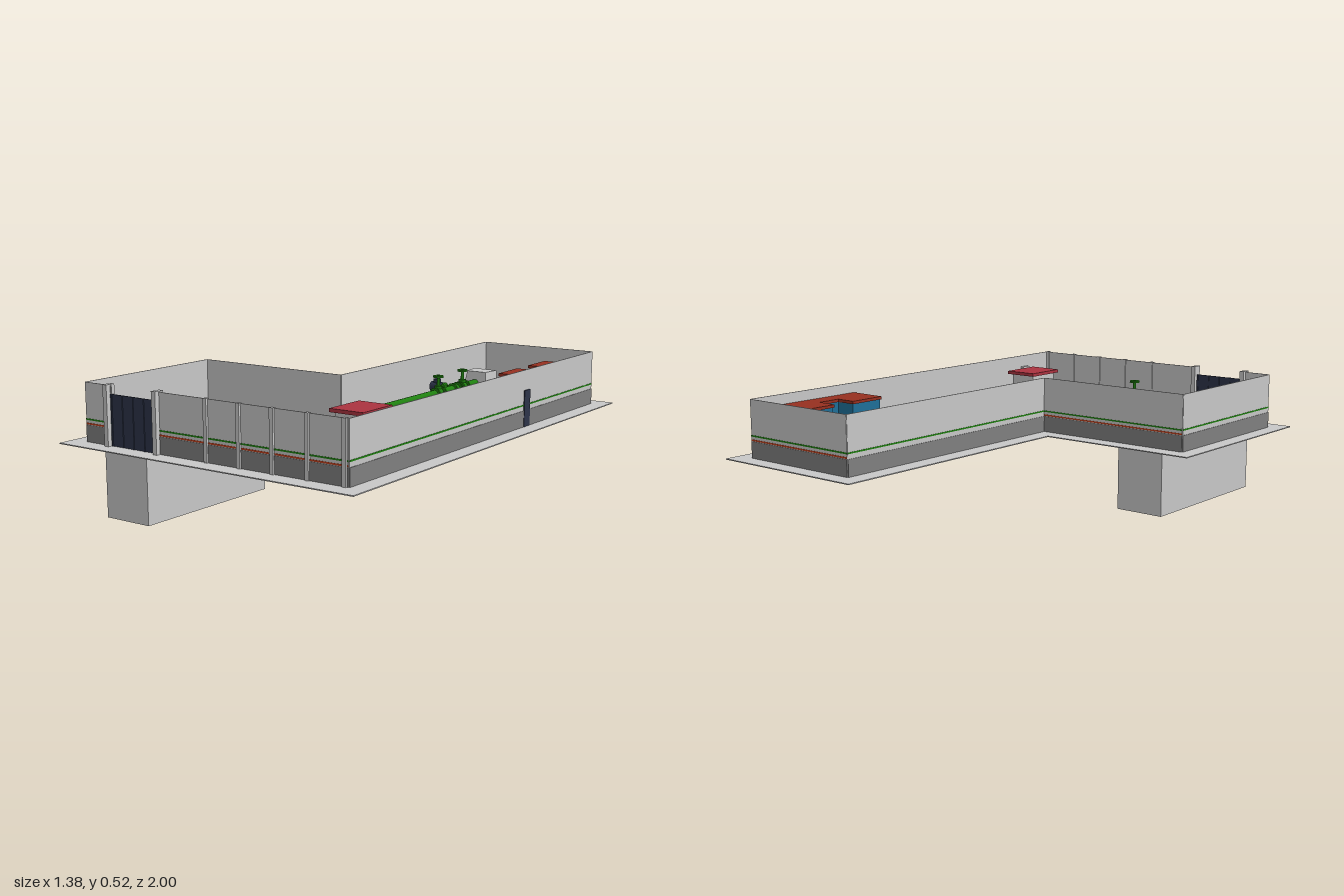
import * as THREE from 'three';

const mat = (name, color) => Object.assign(new THREE.MeshStandardMaterial({ color }), { name });

export function createModel() {
  const root = new THREE.Group();
  root.name = 'pumpingStation';
  const concrete = mat('concrete', 0xc8c8c8), plinth = mat('plinth grey', 0x808080);
  const navy = mat('navy', 0x2d3449), green = mat('pipe green', 0x1f8010);
  const rust = mat('rust roof', 0x963020), crimson = mat('crimson roof', 0xab3340);
  const blue = mat('blue', 0x1f7099), white = mat('white', 0xe6e6e6), orange = mat('orange stripe', 0xc0401c);
  const G = 0.285; // ground level

  const add = (name, geo, m, parent = root) => {
    const mesh = new THREE.Mesh(geo, m);
    mesh.name = name;
    parent.add(mesh);
    return mesh;
  };
  // box given by its two extreme corners
  const box = (name, m, x0, x1, y0, y1, z0, z1, parent) => {
    const b = add(name, new THREE.BoxGeometry(x1 - x0, y1 - y0, z1 - z0), m, parent);
    b.position.set((x0 + x1) / 2, (y0 + y1) / 2, (z0 + z1) / 2);
    return b;
  };
  // cylinder between two points
  const rod = (name, m, a, b, r, sides = 14, parent = root) => {
    const p = new THREE.Vector3(...a), q = new THREE.Vector3(...b), d = q.clone().sub(p);
    const c = add(name, new THREE.CylinderGeometry(r, r, d.length(), sides), m, parent);
    c.position.copy(p).add(q).multiplyScalar(0.5);
    c.quaternion.setFromUnitVectors(new THREE.Vector3(0, 1, 0), d.normalize());
    return c;
  };

  // L-shaped ground slab and the pit below it
  const outline = [[-0.69, 1], [0.69, 1], [0.69, -1], [0, -1], [0, 0.15], [-0.69, 0.15]];
  const slab = add('groundSlab', new THREE.ExtrudeGeometry(
    new THREE.Shape(outline.map(([x, z]) => new THREE.Vector2(x, -z))), { depth: 0.004, bevelEnabled: false }), concrete);
  slab.rotation.x = -Math.PI / 2;
  slab.position.y = G - 0.004;
  box('undergroundPit', concrete, -0.52, -0.305, 0, G - 0.003, 0.235, 0.925);

  // perimeter wall: panel, dark plinth and coloured stripes on the outside
  const wall = (x0, z0, x1, z1, redStripe) => {
    const g = new THREE.Group();
    g.name = 'perimeterWall';
    const len = Math.hypot(x1 - x0, z1 - z0);
    const strip = (name, m, y0, y1, za, zb) => box(name, m, -len / 2, len / 2, y0, y1, za, zb, g);
    strip('wallPanel', concrete, G, 0.518, -0.002, 0.002);
    strip('wallPlinth', plinth, G, 0.352, 0.002, 0.004);
    strip('greenStripe', green, 0.371, 0.377, 0.002, 0.0035);
    if (redStripe) strip('orangeStripe', orange, 0.354, 0.36, 0.002, 0.0035);
    g.position.set((x0 + x1) / 2, 0, (z0 + z1) / 2);
    g.rotation.y = Math.atan2(z0 - z1, x1 - x0);
    root.add(g);
  };
  wall(-0.62, 0.92, -0.48, 0.92, true);
  wall(-0.255, 0.92, 0.616, 0.92, true);
  wall(0.616, 0.92, 0.616, -0.927, false);
  wall(0.616, -0.927, 0.08, -0.927, true);
  wall(0.08, -0.927, 0.08, 0.225, false);
  wall(0.08, 0.225, -0.62, 0.225, true);
  wall(-0.62, 0.225, -0.62, 0.92, false);

  // pillars, gate and side door
  for (const x of [-0.495, -0.245]) box('gatePillar', concrete, x - 0.01, x + 0.01, G, 0.522, 0.9, 0.942);
  for (const x of [-0.007, 0.145, 0.295, 0.447, 0.602]) box('wallPillar', concrete, x - 0.008, x + 0.008, G, 0.52, 0.914, 0.931);
  box('gate', navy, -0.485, -0.255, G, 0.485, 0.918, 0.922);
  for (let i = 0; i <= 4; i++) {
    const x = -0.48 + i * 0.055;
    box('gateRib', navy, x - 0.003, x + 0.003, G, 0.485, 0.915, 0.925);
  }
  box('sideDoor', navy, 0.611, 0.622, G, 0.435, -0.34, -0.292);

  // main pipe with straight runs and rounded joints
  const P = 0.385, R = 0.017;
  const route = [[0.22, G - 0.008, -0.605], [0.22, P, -0.585], [0.22, P, 0.53], [0.04, P, 0.72], [-0.4, P, 0.72], [-0.415, P - 0.015, 0.72], [-0.415, 0.004, 0.72]];
  route.forEach((p, i) => {
    if (i === 0) return;
    rod('mainPipe', green, route[i - 1], p, R);
    if (i < route.length - 1) add('pipeJoint', new THREE.SphereGeometry(R, 14, 10), green).position.set(...p);
  });

  // flanges and hand valves
  const flangeZ = z => rod('flange', green, [0.22, P, z - 0.004], [0.22, P, z + 0.004], 0.026);
  const flangeX = x => rod('flange', green, [x - 0.004, P, 0.72], [x + 0.004, P, 0.72], 0.026);
  [-0.5, -0.455, -0.435, -0.395, -0.305, -0.255].forEach(flangeZ);
  [-0.345, -0.07, -0.03].forEach(flangeX);
  const valve = (x, z) => {
    add('valveBody', new THREE.SphereGeometry(0.024, 14, 10), green).position.set(x, P, z);
    rod('valveStem', green, [x, P, z], [x, 0.462, z], 0.007, 10);
    rod('valveBonnet', green, [x, P + 0.02, z], [x, P + 0.032, z], 0.016, 12);
    rod('handWheel', green, [x, 0.452, z], [x, 0.46, z], 0.022, 14);
  };
  valve(0.22, -0.477);
  valve(0.22, -0.28);
  valve(-0.05, 0.72);

  // motor driven side valve
  rod('motorShaft', green, [0.22, P, -0.415], [0.15, P, -0.415], 0.012, 12);
  rod('motorFlange', green, [0.165, P, -0.415], [0.173, P, -0.415], 0.022, 14);
  rod('motor', navy, [0.105, P, -0.415], [0.153, P, -0.415], 0.022, 14);
  box('motorTerminalBox', navy, 0.12, 0.142, P, P + 0.035, -0.427, -0.403);

  // tapered concrete supports reaching through the slab
  const support = (x, z, turn, w = 0.1, d = 0.034, top = P - 0.01) => {
    const y0 = G - 0.014, t = w * 0.22;
    const s = new THREE.Shape([[-w / 2, y0], [w / 2, y0], [w / 2, G + 0.012], [t, top], [-t, top], [-w / 2, G + 0.012]]
      .map(p => new THREE.Vector2(...p)));
    const geo = new THREE.ExtrudeGeometry(s, { depth: d, bevelEnabled: false }).translate(0, 0, -d / 2);
    const m = add('pipeSupport', geo, concrete);
    m.position.set(x, 0, z);
    m.rotation.y = turn;
  };
  for (const z of [-0.395, -0.197, 0.088, 0.375]) support(0.217, z, 0);
  support(0.125, 0.62, -Math.PI / 4);
  for (const x of [-0.14, -0.243]) support(x, 0.717, Math.PI / 2);

  // pit head frame under the pipe's down turn
  for (const z of [0.647, 0.795]) support(-0.415, z, 0, 0.112, 0.026, 0.34);
  box('pitHeadPlate', green, -0.455, -0.375, G, G + 0.03, 0.67, 0.772);
  for (const x of [-0.452, -0.378]) rod('pitHeadBeam', green, [x, 0.325, 0.64], [x, 0.325, 0.8], 0.006, 8);

  // anchor block with a tapered top at the far end
  const block = new THREE.BoxGeometry(0.13, 0.15, 0.115).translate(0, 0.075, 0);
  const bp = block.attributes.position;
  for (let i = 0; i < bp.count; i++) if (bp.getY(i) > 0.1) {
    bp.setX(i, bp.getX(i) * (bp.getZ(i) < 0 ? 0.85 : 0.7));
    if (bp.getZ(i) < 0) bp.setZ(i, -0.05); else bp.setZ(i, 0.03);
  }
  block.computeVertexNormals();
  add('anchorBlock', block, concrete).position.set(0.22, G, -0.627);

  // blue equipment house with a U-shaped roof
  const roofY = 0.465;
  for (const [a, b] of [[-0.8, -0.645], [-0.545, -0.385]]) {
    box('houseWing', blue, 0.455, 0.606, G, roofY, a + 0.004, b - 0.004);
    box('wingRoof', rust, 0.449, 0.612, roofY, roofY + 0.012, a, b);
  }
  box('houseCore', blue, 0.54, 0.606, G, roofY, -0.65, -0.54);
  box('coreRoof', rust, 0.535, 0.612, roofY, roofY + 0.012, -0.645, -0.545);
  box('equipmentTank', blue, 0.475, 0.535, G, 0.385, -0.628, -0.56);
  for (const z of [-0.636, -0.552]) box('tankSide', white, 0.48, 0.533, G, 0.335, z - 0.007, z + 0.007);
  for (const z of [-0.61, -0.595, -0.58]) rod('tankPort', navy, [0.455, 0.34, z], [0.477, 0.34, z], 0.006, 10);

  // guard hut with flat roof, window and door
  box('hutBody', concrete, 0.36, 0.48, G, 0.468, 0.497, 0.648);
  box('hutRoof', crimson, 0.346, 0.494, 0.468, 0.482, 0.48, 0.664);
  box('hutWindow', blue, 0.479, 0.483, 0.385, 0.435, 0.53, 0.615);
  box('hutDoor', white, 0.395, 0.435, G, 0.42, 0.647, 0.651);

  // cabinet on the side wall
  box('wallCabinet', concrete, 0.6, 0.615, 0.39, 0.465, 0.72, 0.766);
  box('cabinetPanel', plinth, 0.597, 0.6, 0.405, 0.45, 0.729, 0.757);
  return root;
}
